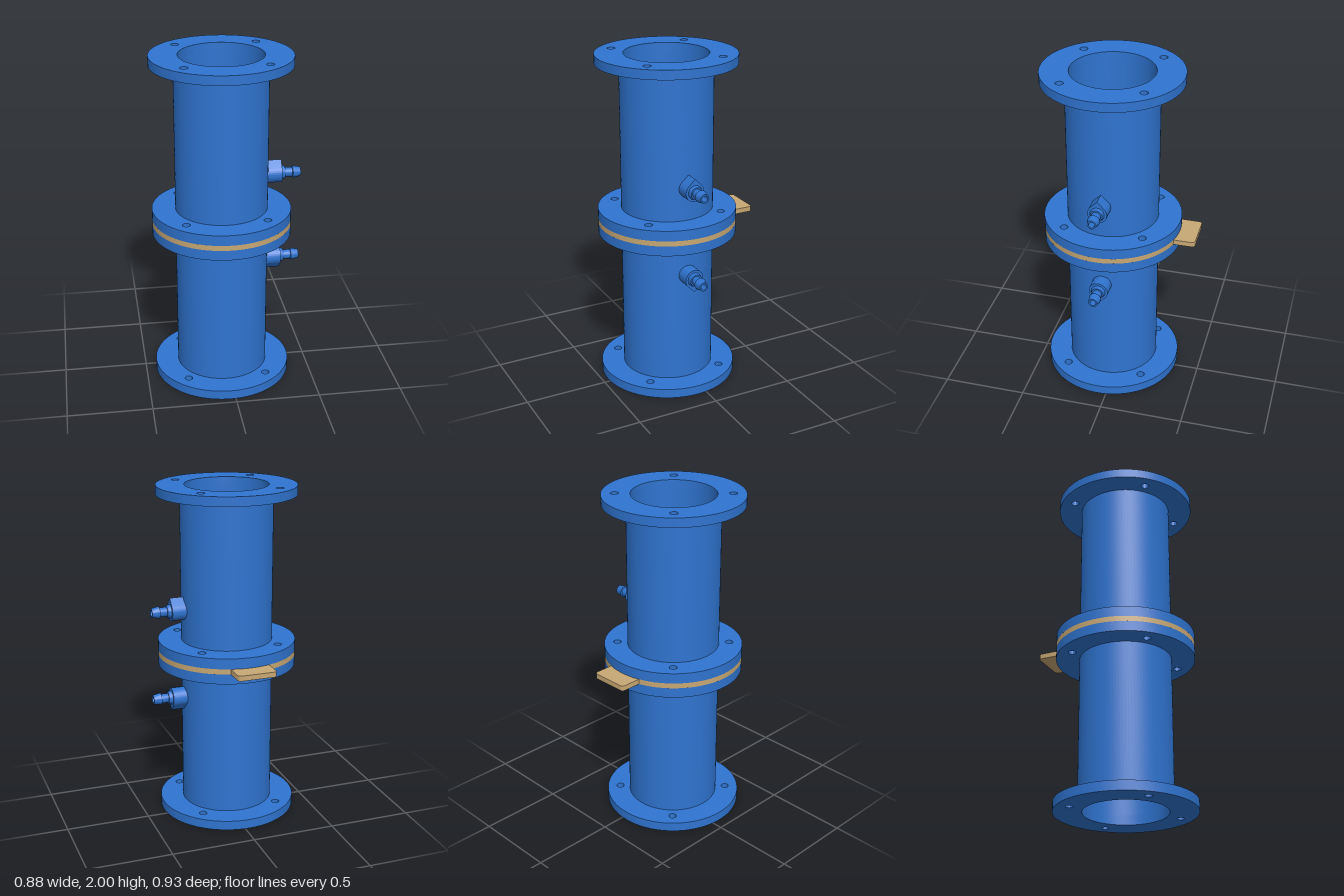
import * as THREE from 'three';
import { toCreasedNormals } from 'three/addons/utils/BufferGeometryUtils.js';

const FLANGE_R = 0.41, PIPE_R = 0.272, BORE_R = 0.245, ORIFICE_R = 0.123;
const BOLT = 0.235, BOLT_R = 0.023;

const blue = new THREE.MeshStandardMaterial({ color: 0x2f74d0 });
blue.name = 'blue paint';
const tan = new THREE.MeshStandardMaterial({ color: 0xc8a874 });
tan.name = 'tan plate';

function addHole(shape, x, y, r) {
  const hole = new THREE.Path();
  hole.absarc(x, y, r, 0, Math.PI * 2, true);
  shape.holes.push(hole);
}

function addBoltHoles(shape) {
  for (const sx of [-1, 1]) for (const sy of [-1, 1]) addHole(shape, sx * BOLT, sy * BOLT, BOLT_R);
}

function disc(r) {
  const shape = new THREE.Shape();
  shape.absarc(0, 0, r, 0, Math.PI * 2, false);
  return shape;
}

function extrude(shape, depth, curveSegments = 48) {
  const geo = new THREE.ExtrudeGeometry(shape, { depth, bevelEnabled: false, curveSegments });
  return toCreasedNormals(geo, 0.6);
}

// Horizontal slab of a shape between two heights
function slab(name, shape, y0, y1, material) {
  const geo = extrude(shape, y1 - y0).rotateX(-Math.PI / 2).translate(0, y0, 0);
  const mesh = new THREE.Mesh(geo, material);
  mesh.name = name;
  return mesh;
}

function flange(name, y0, y1) {
  const shape = disc(FLANGE_R);
  addHole(shape, 0, 0, BORE_R);
  addBoltHoles(shape);
  return slab(name, shape, y0, y1, blue);
}

function pipe(name, y0, y1) {
  const shape = disc(PIPE_R);
  addHole(shape, 0, 0, BORE_R);
  return slab(name, shape, y0, y1, blue);
}

// Orifice plate with a rounded handle tab at the back
function orificePlate() {
  const w = 0.117, end = 0.52, r = 0.02, d = Math.asin(w / FLANGE_R);
  const shape = new THREE.Shape();
  shape.absarc(0, 0, FLANGE_R, Math.PI / 2 + d, Math.PI * 2.5 - d, false);
  shape.lineTo(w, end - r);
  shape.absarc(w - r, end - r, r, 0, Math.PI / 2, false);
  shape.lineTo(-w + r, end);
  shape.absarc(-w + r, end - r, r, Math.PI / 2, Math.PI, false);
  shape.closePath();
  addHole(shape, 0, 0, ORIFICE_R);
  addBoltHoles(shape);
  return slab('orificePlate', shape, 0.985, 1.016, tan);
}

// Pressure tap: teardrop boss and hose barb pointing to +x
function pressureTap(name, y, tipUp) {
  const tap = new THREE.Group();
  tap.name = name;
  const r = 0.057, bore = 0.018;

  const drop = new THREE.Shape();
  drop.absarc(0, 0, r, Math.PI * 0.75, Math.PI * 2.25, false);
  drop.lineTo(0, r * Math.SQRT2);
  drop.closePath();
  addHole(drop, 0, 0, bore);
  const boss = new THREE.Mesh(extrude(drop, 0.102, 24).rotateY(Math.PI / 2).translate(0.25, 0, 0), blue);
  boss.name = name + 'Boss';

  // Closed profile [radius, distance from the pipe axis]
  const profile = [
    [bore, 0.345], [0.042, 0.345], [0.042, 0.354], [0.036, 0.374], [0.028, 0.374],
    [0.028, 0.417], [0.036, 0.419], [0.027, 0.466], [bore, 0.466], [bore, 0.345],
  ].map(([x, h]) => new THREE.Vector2(x, h));
  const barbGeo = toCreasedNormals(new THREE.LatheGeometry(profile, 32), 0.5).rotateZ(-Math.PI / 2);
  const barb = new THREE.Mesh(barbGeo, blue);
  barb.name = name + 'HoseBarb';

  tap.add(boss, barb);
  tap.position.y = y;
  if (!tipUp) tap.rotation.x = Math.PI;
  return tap;
}

export function createModel() {
  const model = new THREE.Group();
  model.name = 'orificeFlowMeter';
  model.add(
    flange('bottomFlange', 0, 0.057),
    pipe('lowerPipe', 0.057, 0.925),
    flange('lowerMiddleFlange', 0.925, 0.985),
    orificePlate(),
    flange('upperMiddleFlange', 1.016, 1.078),
    pipe('upperPipe', 1.078, 1.945),
    flange('topFlange', 1.945, 2),
    pressureTap('upperTap', 1.273, true),
    pressureTap('lowerTap', 0.735, false),
  );
  // Pipe axis sits off centre because of the tab and taps
  for (const part of model.children) part.position.add(new THREE.Vector3(-0.028, 0, 0.055));
  return model;
}
